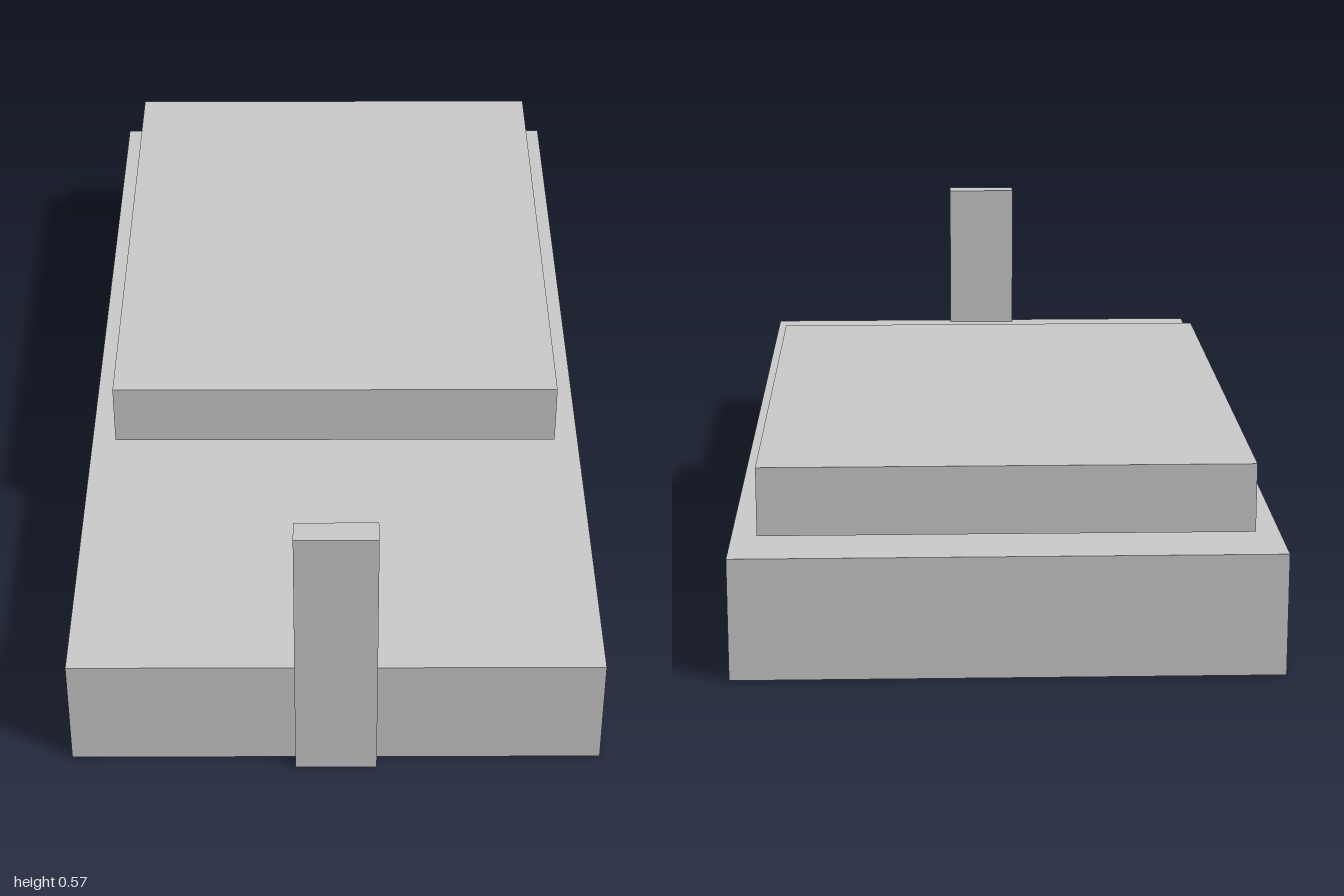
import * as THREE from 'three';

export function createModel() {
  const model = new THREE.Group();
  const grey = new THREE.MeshStandardMaterial({ color: 0xcccccc });

  // Box given by its width (centred on x) and its y and z extents
  function addBox(name, width, [y0, y1], [z0, z1]) {
    const mesh = new THREE.Mesh(new THREE.BoxGeometry(width, y1 - y0, z1 - z0), grey);
    mesh.name = name;
    mesh.position.set(0, (y0 + y1) / 2, (z0 + z1) / 2);
    model.add(mesh);
  }

  // Long base block
  addBox('base', 1.024, [0, 0.233], [-1, 0.972]);
  // Slab floating just above the rear of the base
  addBox('upperSlab', 0.924, [0.245, 0.376], [-0.9, 0.284]);
  // Thin upright post set into the front edge
  addBox('frontPost', 0.157, [0, 0.57], [0.95, 1]);

  return model;
}
